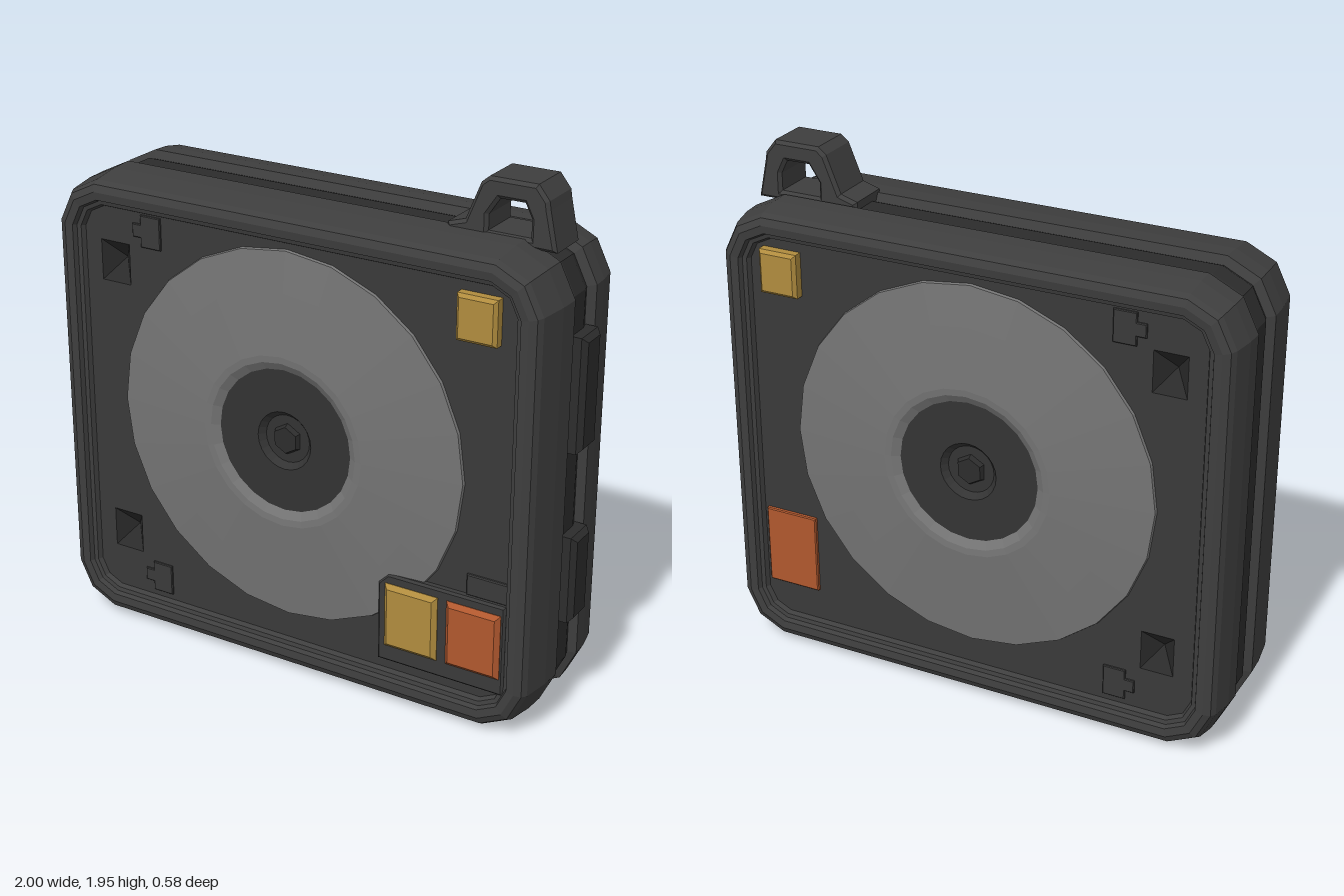
import * as THREE from 'three';

const CX = -0.0175, CY = 0.89, FLOOR = 0.24;
const mat = (color, side = THREE.FrontSide) => new THREE.MeshStandardMaterial({ color, flatShading: true, side });
const M = {
  body: mat(0x3e3e3e), groove: mat(0x2c2c2c), panel: mat(0x3a3a3a), pit: mat(0x2a2a2a, THREE.DoubleSide),
  disc: mat(0x747474), hub: mat(0x333333), yellow: mat(0xb08c3e), red: mat(0xb0582e),
};

function add(parent, name, geo, material, x = 0, y = 0, z = 0) {
  const m = new THREE.Mesh(geo, material);
  m.name = name;
  m.position.set(x, y, z);
  parent.add(m);
  return m;
}

// Square outline with cut corners, shrunk by inset, counter-clockwise
function outline(inset) {
  const w = 0.9825 - inset, h = 0.88 - inset, c = 0.18 - inset * 0.8;
  const corner = [[w, h - c], [w - c * 0.33, h - c * 0.33], [w - c, h]];
  const flip = [...corner].reverse();
  return [
    ...corner,
    ...flip.map(([x, y]) => [-x, y]),
    ...corner.map(([x, y]) => [-x, -y]),
    ...flip.map(([x, y]) => [x, -y]),
  ].map(([x, y]) => new THREE.Vector2(x, y));
}

// Skin over outlines listed as [inset, z], from back to front
function loft(rings) {
  const pos = [];
  const loops = rings.map(([inset, z]) => outline(inset).map(p => [p.x, p.y, z]));
  for (let r = 0; r < loops.length - 1; r++) {
    const a = loops[r], b = loops[r + 1];
    for (let i = 0; i < a.length; i++) {
      const j = (i + 1) % a.length;
      pos.push(...a[i], ...a[j], ...b[j], ...a[i], ...b[j], ...b[i]);
    }
  }
  const g = new THREE.BufferGeometry();
  g.setAttribute('position', new THREE.Float32BufferAttribute(pos, 3));
  g.computeVertexNormals();
  return g;
}

function poly(points) {
  return new THREE.Shape(points.map(([x, y]) => new THREE.Vector2(x, y)));
}

// Bevelled slab of a shape, from z = 0 to z = depth
function slab(shape, depth, bevel) {
  const g = new THREE.ExtrudeGeometry(shape, {
    depth: depth - 2 * bevel, bevelEnabled: bevel > 0, bevelSize: bevel,
    bevelThickness: bevel, bevelOffset: -bevel, bevelSegments: 1,
  });
  return g.translate(0, 0, bevel);
}

function block(w, h, depth, bevel) {
  return slab(poly([[-w / 2, -h / 2], [w / 2, -h / 2], [w / 2, h / 2], [-w / 2, h / 2]]), depth, bevel);
}

const lathe = (pts, n) =>
  new THREE.LatheGeometry(pts.map(([x, y]) => new THREE.Vector2(x, y)), n).rotateX(Math.PI / 2);

// One face of the case; s = 1 for the front, -1 for the back
function makeFace(s) {
  const g = new THREE.Group();
  g.name = s > 0 ? 'frontFace' : 'backFace';
  g.rotation.y = s > 0 ? 0 : Math.PI;

  // Panel with two square pits
  const pits = [[-0.755, 1.45], [-0.75, 0.37]];
  const panel = new THREE.Shape(outline(0.115).map(p => new THREE.Vector2(p.x + s * CX, p.y + CY)));
  pits.forEach(([x, y]) => {
    const X = s * x, a = 0.062, b = 0.077;
    panel.holes.push(poly([[X - a, y - b], [X - a, y + b], [X + a, y + b], [X + a, y - b]]));
    const pit = new THREE.ConeGeometry(Math.SQRT2, 0.07, 4, 1, true).rotateY(Math.PI / 4).rotateX(-Math.PI / 2);
    add(g, 'pit', pit.scale(a, b, 1), M.pit, X, y, FLOOR - 0.035);
  });
  add(g, 'panel', new THREE.ShapeGeometry(panel), M.panel, 0, 0, FLOOR);

  // Notched keys beside the pits
  for (const y of [1.59, 0.21]) {
    const key = poly([[-0.06, -0.025], [-0.025, -0.025], [-0.025, -0.06], [0.06, -0.06],
      [0.06, 0.06], [-0.025, 0.06], [-0.025, 0.025], [-0.06, 0.025]].map(([x, v]) => [x, v]));
    add(g, 'key', slab(key, 0.012, 0.003), M.panel, s * -0.61, y, FLOOR - 0.002)
      .rotation.z = s > 0 ? 0 : Math.PI;
  }

  // Round cover, hub and hexagonal bolt
  const dial = new THREE.Group();
  dial.name = 'dial';
  dial.position.set(s * -0.025, 0.93, 0);
  g.add(dial);
  add(dial, 'disc', lathe([[0.71, 0.22], [0.7, 0.25], [0.55, 0.266], [0.325, 0.288], [0.3, 0.286], [0.27, 0.268]], 24), M.disc);
  add(dial, 'hub', lathe([[0.27, 0.268], [0.11, 0.268], [0.09, 0.245], [0, 0.245]], 24), M.hub);
  add(dial, 'bolt', new THREE.CylinderGeometry(0.05, 0.06, 0.02, 6).rotateX(Math.PI / 2), M.groove, 0, 0, 0.253);

  // Small upper button
  add(g, 'upperButton', block(0.15, 0.165, 0.06, 0.012), M.yellow, s * 0.72, 1.54, 0.223);

  if (s > 0) {
    // Button tray with two large buttons
    const tray = poly([[0.36, 0.17], [0.86, 0.17], [0.86, 0.52], [0.4, 0.52], [0.36, 0.48]]);
    add(g, 'buttonTray', slab(tray, 0.05, 0.008), M.panel, 0, 0, 0.217);
    add(g, 'trayStep', block(0.16, 0.08, 0.015, 0.004), M.panel, 0.78, 0.56, FLOOR - 0.003);
    add(g, 'yellowButton', block(0.21, 0.25, 0.065, 0.016), M.yellow, 0.495, 0.36, 0.22);
    add(g, 'redButton', block(0.21, 0.25, 0.065, 0.016), M.red, 0.74, 0.36, 0.22);
  } else {
    add(g, 'redPlate', block(0.21, 0.31, 0.03, 0.004), M.red, -0.73, 0.41, 0.225);
  }
  return g;
}

export function createModel() {
  const model = new THREE.Group();
  model.name = 'squareDevice';

  // Two shell halves with stepped rims, and the recessed seam between them
  add(model, 'frontShell', loft([[0.03, 0.045], [0, 0.06], [0.003, 0.14], [0.018, 0.25], [0.03, 0.272], [0.055, 0.284],
    [0.085, 0.28], [0.092, 0.262], [0.107, 0.258], [0.115, FLOOR]]), M.body, CX, CY, 0);
  add(model, 'backShell', loft([[0.115, -FLOOR], [0.107, -0.258], [0.092, -0.262], [0.085, -0.28], [0.055, -0.284],
    [0.03, -0.272], [0.018, -0.25], [0.003, -0.17], [0, -0.105], [0.03, -0.09]]), M.body, CX, CY, 0);
  add(model, 'seam', loft([[0.03, -0.09], [0.02, -0.06], [0.02, 0.02], [0.03, 0.045]]), M.groove, CX, CY, 0);

  model.add(makeFace(1), makeFace(-1));

  // Side buttons
  for (const [y, h] of [[1.24, 0.42], [0.55, 0.33]]) {
    add(model, 'sideButton', block(0.125, h, 0.08, 0.018).rotateY(Math.PI / 2), M.groove, 0.92, y, -0.03);
  }

  // Carrying loop
  const loop = poly([[0.5, 1.74], [0.9, 1.74], [0.87, 1.88], [0.865, 1.91], [0.825, 1.96], [0.65, 1.96], [0.62, 1.935], [0.565, 1.8], [0.5, 1.78]]);
  loop.holes.push(poly([[0.65, 1.775], [0.65, 1.83], [0.69, 1.89], [0.78, 1.89], [0.805, 1.84], [0.805, 1.775]]));
  add(model, 'loop', slab(loop, 0.18, 0.012), M.body, 0, 0, -0.095);

  return model;
}
